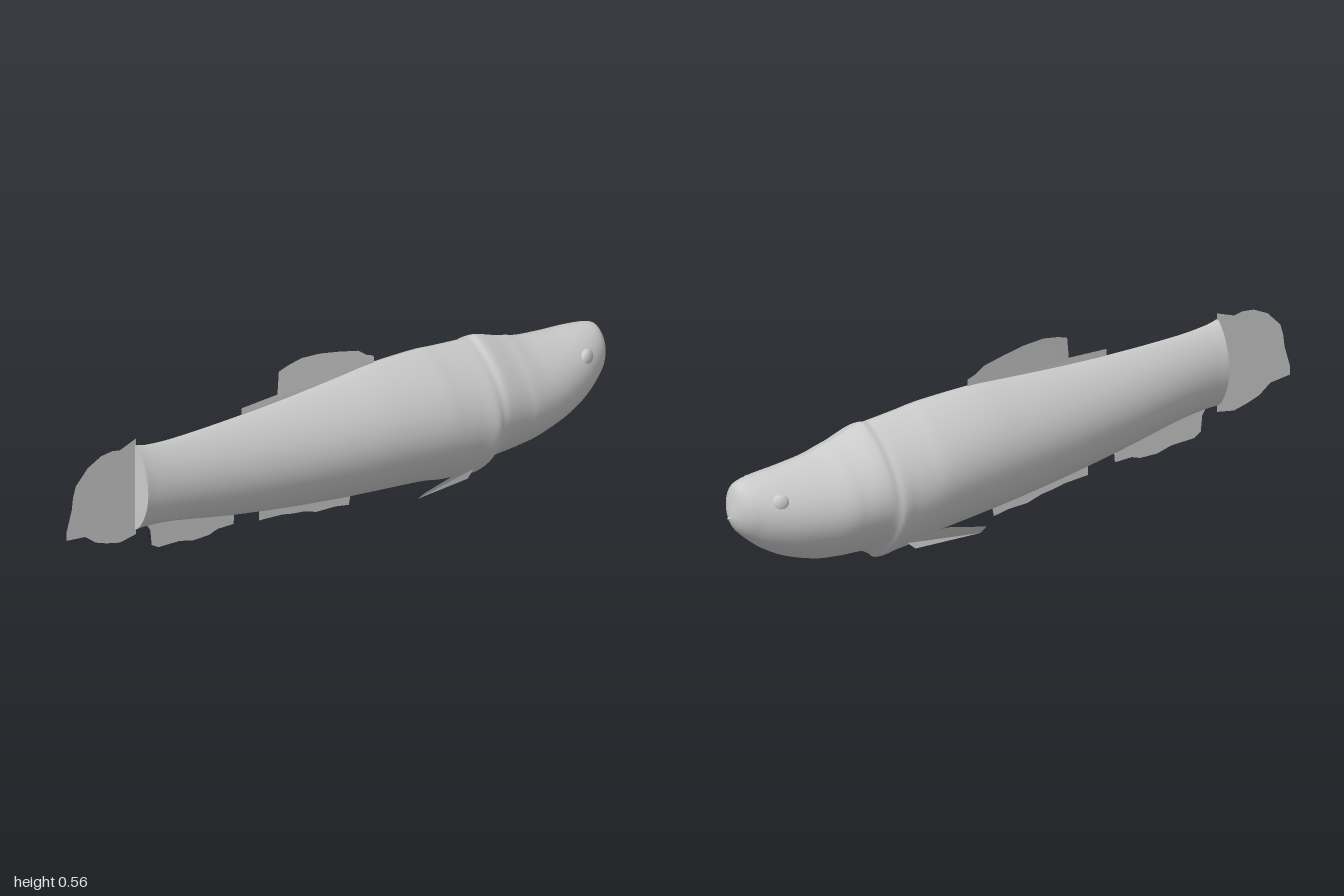
import * as THREE from 'three';

const grey = new THREE.MeshStandardMaterial({ color: 0xcccccc, side: THREE.DoubleSide });
grey.name = 'pale grey';

// Body stations: x, belly y, back y, half width
const stations = [
  [-0.745, 0.195, 0.475, 0.062], [-0.7, 0.194, 0.464, 0.062], [-0.6, 0.18, 0.455, 0.069],
  [-0.4, 0.135, 0.452, 0.09], [-0.2, 0.097, 0.456, 0.113], [0, 0.066, 0.466, 0.137],
  [0.13, 0.05, 0.473, 0.152], [0.3, 0.03, 0.467, 0.169], [0.37, 0.015, 0.459, 0.172],
  [0.43, 0.008, 0.452, 0.174], [0.475, 0.002, 0.447, 0.179], [0.5, 0.02, 0.444, 0.173],
  [0.53, 0.034, 0.447, 0.171], [0.6, 0.038, 0.422, 0.163], [0.64, 0.042, 0.41, 0.161],
  [0.7, 0.052, 0.392, 0.152], [0.8, 0.086, 0.376, 0.132], [0.88, 0.13, 0.368, 0.107],
  [0.94, 0.178, 0.36, 0.077], [0.965, 0.203, 0.349, 0.055], [0.977, 0.22, 0.325, 0.036],
  [0.985, 0.237, 0.285, 0.017], [0.988, 0.248, 0.258, 0.002],
];

// Smooth loft of keel-shaped cross-sections
function bodyGeometry(rings = 132, sides = 56) {
  const spline = (pts) => new THREE.CatmullRomCurve3(pts, false, 'catmullrom', 0.5);
  const along = spline(stations.map((s) => new THREE.Vector3(s[0], 0, 0)));
  const shape = spline(stations.map((s) => new THREE.Vector3(s[1], s[2], s[3])));
  const pos = [], index = [];
  for (let i = 0; i <= rings; i++) {
    const x = along.getPoint(i / rings).x;
    const { x: low, y: high, z: width } = shape.getPoint(i / rings);
    const power = 1.6 - 0.5 * THREE.MathUtils.smoothstep(x, 0.6, 0.97);
    for (let j = 0; j < sides; j++) {
      const a = (j / sides) * Math.PI * 2, c = Math.cos(a);
      pos.push(x, (low + high) / 2 + (high - low) / 2 * Math.sin(a),
        Math.sign(c) * width * Math.abs(c) ** power);
      if (i < rings) {
        const p = i * sides + j, q = i * sides + (j + 1) % sides;
        index.push(p, p + sides, q, q, p + sides, q + sides);
      }
    }
  }
  const g = new THREE.BufferGeometry();
  g.setAttribute('position', new THREE.Float32BufferAttribute(pos, 3));
  g.setIndex(index);
  g.computeVertexNormals();
  return g;
}

// Flat fin outlines in x, y
const fins = {
  tailFin: [[-0.74, 0.495], [-0.76, 0.488], [-0.8, 0.474], [-0.83, 0.48], [-0.87, 0.476],
    [-0.92, 0.452], [-0.965, 0.405], [-0.975, 0.37], [-0.98, 0.33], [-1, 0.26], [-1, 0.235],
    [-0.93, 0.226], [-0.89, 0.195], [-0.85, 0.18], [-0.8, 0.167], [-0.74, 0.177]],
  dorsalFin: [[-0.35, 0.44], [-0.35, 0.474], [-0.215, 0.478], [-0.205, 0.548], [-0.17, 0.558],
    [-0.12, 0.566], [-0.05, 0.56], [0.02, 0.545], [0.09, 0.527], [0.12, 0.505],
    [0.145, 0.495], [0.145, 0.46]],
  analFin: [[-0.71, 0.21], [-0.69, 0.175], [-0.685, 0.125], [-0.66, 0.11], [-0.58, 0.106],
    [-0.53, 0.092], [-0.47, 0.092], [-0.44, 0.102], [-0.38, 0.1], [-0.375, 0.15]],
  ventralFin: [[-0.285, 0.13], [-0.285, 0.082], [-0.2, 0.075], [-0.16, 0.066], [-0.12, 0.06],
    [-0.07, 0.044], [0, 0.04], [0.05, 0.03], [0.06, 0.08]],
};

function finGeometry(outline) {
  return new THREE.ShapeGeometry(new THREE.Shape(outline.map((p) => new THREE.Vector2(...p))));
}

// Slanted side fin, fanned out from its first corner
function pectoralGeometry(side) {
  const corners = [[0.43, 0.075, 0.11], [0.43, 0.09, 0.125], [0.335, 0.128, 0.179],
    [0.195, 0.097, 0.18], [0.195, 0.063, 0.145], [0.405, 0.053, 0.115]];
  const g = new THREE.BufferGeometry();
  g.setAttribute('position', new THREE.Float32BufferAttribute(
    corners.flatMap(([x, y, z]) => [x, y, z * side]), 3));
  g.setIndex([0, 1, 2, 0, 2, 3, 0, 3, 4, 0, 4, 5]);
  const flat = g.toNonIndexed();
  flat.computeVertexNormals();
  return flat;
}

export function createModel() {
  const fish = new THREE.Group();
  fish.name = 'fish';
  const add = (name, geometry) => {
    const mesh = new THREE.Mesh(geometry, grey);
    mesh.name = name;
    fish.add(mesh);
    return mesh;
  };

  add('body', bodyGeometry());

  // Flat end of the body where the tail begins
  const end = new THREE.Shape();
  for (let j = 0; j < 40; j++) {
    const a = (j / 40) * Math.PI * 2, c = Math.cos(a);
    const z = Math.sign(c) * 0.062 * Math.abs(c) ** 1.6, y = 0.335 + 0.14 * Math.sin(a);
    if (j) end.lineTo(z, y); else end.moveTo(z, y);
  }
  const cap = add('tailBase', new THREE.ShapeGeometry(end));
  cap.rotation.y = -Math.PI / 2;
  cap.position.x = -0.744;

  for (const [name, outline] of Object.entries(fins)) {
    const fin = add(name, finGeometry(outline));
    if (name === 'tailFin') fin.position.z = -0.004;
    if (name === 'dorsalFin') {
      // Lean the upper edge slightly to one side
      const p = fin.geometry.attributes.position;
      for (let i = 0; i < p.count; i++) p.setZ(i, -0.09 * Math.max(0, p.getY(i) - 0.46));
      fin.geometry.computeVertexNormals();
    }
  }

  for (const side of [1, -1]) {
    const label = side > 0 ? 'front' : 'back';
    add(label + 'PectoralFin', pectoralGeometry(side));
    const eye = add(label + 'Eye', new THREE.SphereGeometry(0.028, 24, 16));
    eye.position.set(0.868, 0.3, side * 0.088);
    eye.scale.z = 0.6;
    eye.rotation.y = side * 0.35;
  }

  // Small point at the mouth
  const tip = add('mouthTip', new THREE.ConeGeometry(0.012, 0.03, 12));
  tip.rotation.z = -Math.PI / 2;
  tip.position.set(0.985, 0.25, 0);

  return fish;
}
